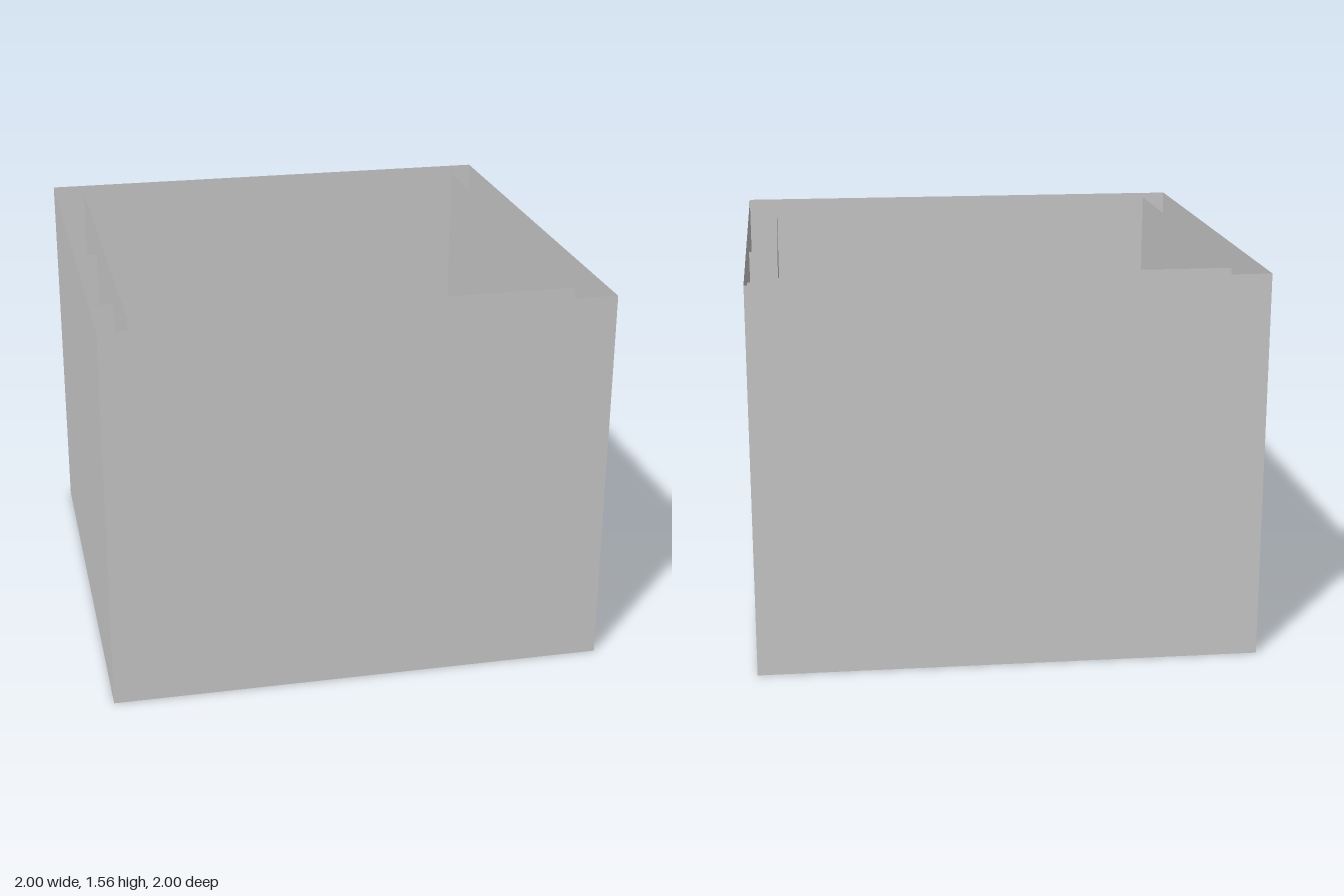
import * as THREE from 'three';

const HALF = 1, INNER = 0.873, HEIGHT = 1.56, GAP = HALF - INNER;

export function createModel() {
  const model = new THREE.Group();
  const material = new THREE.MeshStandardMaterial({
    color: 0xcccccc, flatShading: true, side: THREE.DoubleSide,
  });

  // One thin flat panel
  function panel(name, width, height, parent) {
    const mesh = new THREE.Mesh(new THREE.PlaneGeometry(width, height), material);
    mesh.name = name;
    parent.add(mesh);
    return mesh;
  }

  // Open-topped box of thin panels: a floor and four walls
  function openBox(name, half, bottom) {
    const box = new THREE.Group();
    box.name = name;
    const floor = panel(name + 'Floor', half * 2, half * 2, box);
    floor.rotation.x = -Math.PI / 2;
    floor.position.y = bottom;
    for (let i = 0; i < 4; i++) {
      const angle = i * Math.PI / 2;
      const wall = panel(name + 'Wall', half * 2, HEIGHT - bottom, box);
      wall.rotation.y = angle;
      wall.position.set(Math.sin(angle) * half, (HEIGHT + bottom) / 2, Math.cos(angle) * half);
    }
    model.add(box);
  }

  openBox('outerShell', HALF, 0);
  openBox('innerLiner', INNER, GAP);

  // Spacer ribs in the gap, two per side at the thirds, set below the rim
  const ribHeight = HEIGHT - GAP;
  for (let i = 0; i < 4; i++) {
    const side = new THREE.Group();
    side.name = 'spacerRibs';
    side.rotation.y = i * Math.PI / 2;
    for (const x of [-1 / 3, 1 / 3]) {
      const rib = panel('spacerRib', GAP, ribHeight, side);
      rib.rotation.y = Math.PI / 2;
      rib.position.set(x, ribHeight / 2, (HALF + INNER) / 2);
    }
    model.add(side);
  }

  return model;
}
